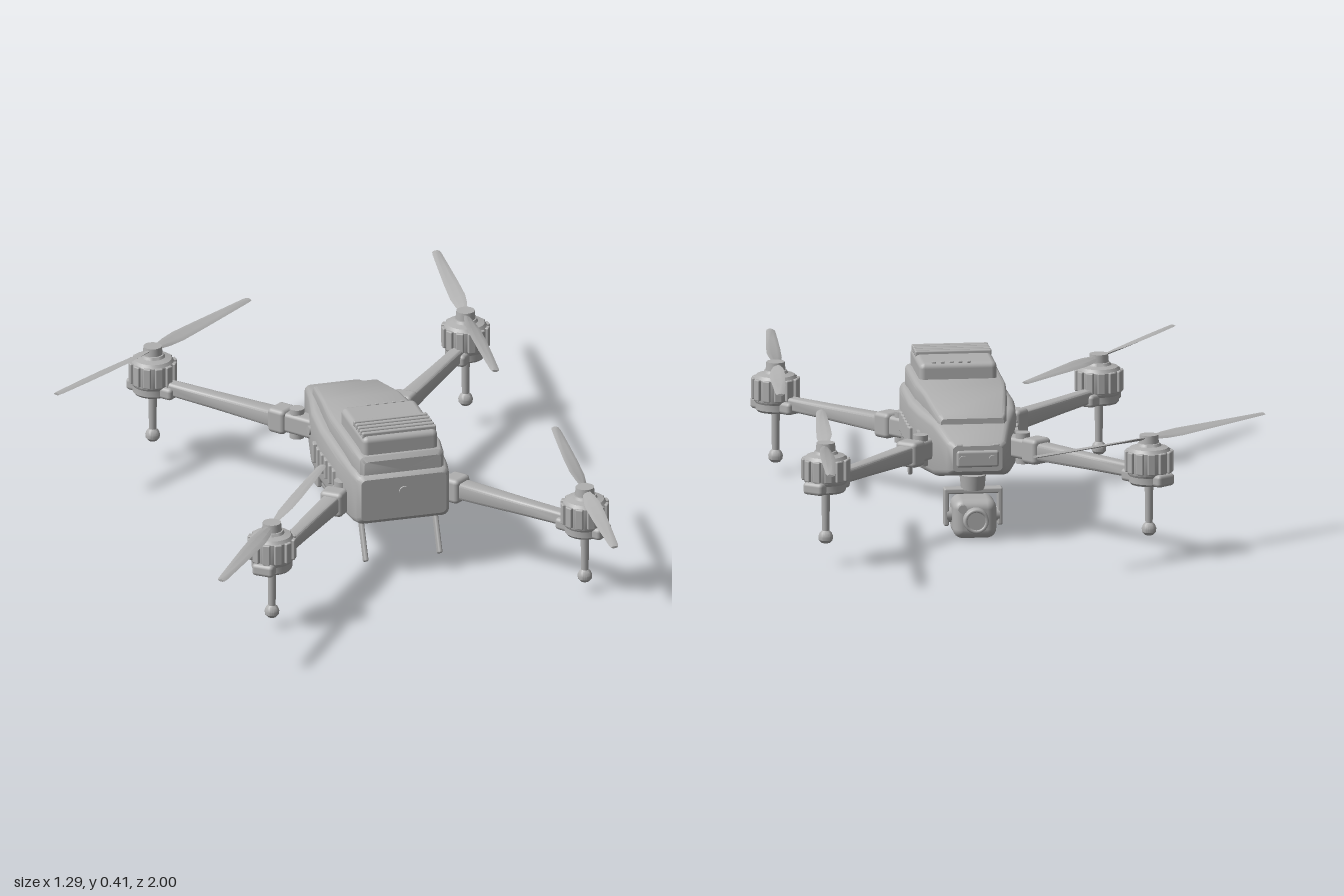
import * as THREE from 'three';
import { toCreasedNormals } from 'three/addons/utils/BufferGeometryUtils.js';
import { RoundedBoxGeometry } from 'three/addons/geometries/RoundedBoxGeometry.js';

const grey = new THREE.MeshStandardMaterial({ color: 0xb0b0b0 });
grey.name = 'grey';

function add(parent, name, geometry, x = 0, y = 0, z = 0) {
  const mesh = new THREE.Mesh(geometry, grey);
  mesh.name = name;
  mesh.position.set(x, y, z);
  parent.add(mesh);
  return mesh;
}

function group(parent, name, x = 0, y = 0, z = 0) {
  const g = new THREE.Group();
  g.name = name;
  g.position.set(x, y, z);
  parent.add(g);
  return g;
}

const box = (w, h, d, r = 0.006) => new RoundedBoxGeometry(w, h, d, 2, r);
const cyl = (rTop, rBottom, h, n = 24) => new THREE.CylinderGeometry(rTop, rBottom, h, n);
const lathe = (pts) => toCreasedNormals(
  new THREE.LatheGeometry(pts.map(([r, y]) => new THREE.Vector2(r, y)), 24), 0.6);

// Skin rings of [x, y, z] points (counter-clockwise seen from +z) along +z, with capped ends
function loft(rings, crease = 0.6) {
  const pos = [];
  const tri = (a, b, c) => pos.push(...a, ...b, ...c);
  const n = rings[0].length;
  const middle = (ring) => [0, 1, 2].map((k) => ring.reduce((s, p) => s + p[k], 0) / n);
  const first = rings[0], last = rings[rings.length - 1];
  const c0 = middle(first), c1 = middle(last);
  for (let i = 0; i < n; i++) {
    const j = (i + 1) % n;
    for (let k = 0; k + 1 < rings.length; k++) {
      const a = rings[k], b = rings[k + 1];
      tri(a[i], a[j], b[j]);
      tri(a[i], b[j], b[i]);
    }
    tri(c0, first[j], first[i]);
    tri(c1, last[i], last[j]);
  }
  const g = new THREE.BufferGeometry();
  g.setAttribute('position', new THREE.Float32BufferAttribute(pos, 3));
  return toCreasedNormals(g, crease);
}

// Rounded rectangle cross-section: half-width, bottom, top, corner radius
function section(z, hw, y0, y1, r) {
  const ring = [];
  const corners = [[hw - r, y0 + r, -90], [hw - r, y1 - r, 0], [-hw + r, y1 - r, 90], [-hw + r, y0 + r, 180]];
  for (const [cx, cy, start] of corners) {
    for (const step of [0, 30, 60, 90]) {
      const a = THREE.MathUtils.degToRad(start + step);
      ring.push([cx + r * Math.cos(a), cy + r * Math.sin(a), z]);
    }
  }
  return ring;
}

// Tapered, twisted blade along +z
function bladeGeometry(spin) {
  const stations = [[0.02, 0.02, 24], [0.06, 0.034, 22], [0.11, 0.043, 17], [0.2, 0.04, 12], [0.3, 0.033, 8], [0.4, 0.025, 5], [0.414, 0.02, 5]];
  return loft(stations.map(([z, chord, deg]) => {
    const a = THREE.MathUtils.degToRad(deg) * spin;
    const t = 0.003;
    return [[0.5, 0], [0.2, t], [-0.2, t], [-0.5, 0], [-0.2, -t], [0.2, -t]].map(([u, v]) => {
      const x = u * chord;
      return [x * Math.cos(a) - v * Math.sin(a), 0.018 * z + x * Math.sin(a) + v * Math.cos(a), z];
    });
  }), 0.5);
}

// Arm, motor, landing leg and propeller at one corner
function buildCorner(parent, name, sx, sz, propX, propZ) {
  const rear = sz < 0;
  const corner = group(parent, name, sx * 0.44, rear ? 0.21 : 0.18, sz * 0.587);

  const arm = group(corner, 'arm', 0, 0.027, 0);
  arm.rotation.y = Math.atan2(-sx * 0.27, -sz * 0.33);
  add(arm, 'armTube', loft([
    section(0.03, 0.018, -0.018, 0.018, 0.008),
    section(0.2, 0.02, -0.02, 0.02, 0.008),
    section(0.41, 0.024, -0.024, 0.024, 0.008),
  ]));
  add(arm, 'armClamp', box(0.066, 0.07, 0.055, 0.012), 0, 0, 0.425);
  add(arm, 'armRoot', box(0.05, 0.056, 0.12, 0.01), 0, 0, 0.5);
  add(arm, 'hingePin', cyl(0.02, 0.02, 0.085), 0, 0, 0.475);
  add(arm, 'motorBracket', box(0.062, 0.034, 0.15, 0.01), 0, -0.01, 0.005);

  const motor = group(corner, 'motor');
  add(motor, 'motorBase', lathe([[0, 0], [0.05, 0], [0.055, 0.006], [0.055, 0.024], [0, 0.024]]));
  add(motor, 'motorBell', lathe([[0, 0.022], [0.054, 0.022], [0.059, 0.03], [0.059, 0.09],
    [0.052, 0.1], [0.034, 0.105], [0.03, 0.112], [0, 0.112]]));
  for (let i = 0; i < 12; i++) {
    const a = (i / 12) * Math.PI * 2;
    const rib = add(motor, 'motorRib', box(0.021, 0.058, 0.014, 0.003), Math.sin(a) * 0.059, 0.063, Math.cos(a) * 0.059);
    rib.rotation.y = a;
  }

  add(corner, 'leg', cyl(0.012, 0.01, 0.12, 16), 0, -0.055, 0);
  add(corner, 'foot', lathe([[0, -0.143], [0.012, -0.142], [0.019, -0.134], [0.02, -0.124],
    [0.016, -0.114], [0.01, -0.108], [0, -0.107]]));

  const prop = group(corner, 'propeller', 0, 0.125, 0);
  prop.rotation.y = Math.atan2(propX, propZ);
  add(prop, 'propellerHub', cyl(0.025, 0.027, 0.022), 0, -0.001, 0);
  const blade = bladeGeometry(sx * sz);
  add(prop, 'blade', blade);
  add(prop, 'blade', blade).rotation.y = Math.PI;
}

function buildBody(parent) {
  const body = group(parent, 'body');
  add(body, 'hull', loft([
    section(-0.362, 0.068, 0.205, 0.275, 0.012),
    section(-0.345, 0.082, 0.192, 0.287, 0.016),
    section(-0.22, 0.107, 0.164, 0.315, 0.018),
    section(-0.1, 0.134, 0.16, 0.322, 0.018),
    section(0.02, 0.145, 0.16, 0.322, 0.018),
    section(0.2, 0.144, 0.16, 0.318, 0.018),
    section(0.3, 0.136, 0.16, 0.312, 0.018),
    section(0.335, 0.13, 0.166, 0.307, 0.018),
    section(0.347, 0.12, 0.178, 0.297, 0.014),
  ]));
  add(body, 'topCover', loft([
    section(-0.242, 0.086, 0.28, 0.325, 0.01),
    section(-0.225, 0.094, 0.28, 0.335, 0.012),
    section(-0.07, 0.113, 0.28, 0.361, 0.012),
    section(0.05, 0.124, 0.28, 0.363, 0.012),
    section(0.27, 0.125, 0.28, 0.363, 0.012),
    section(0.325, 0.118, 0.28, 0.357, 0.012),
    section(0.335, 0.108, 0.28, 0.345, 0.012),
  ]));

  // Rear sensor plate and front button
  add(body, 'rearPlate', box(0.115, 0.046, 0.016, 0.007), 0, 0.24, -0.362);
  for (const s of [-1, 1]) {
    add(body, 'rearSensor', cyl(0.011, 0.011, 0.012, 16), s * 0.04, 0.24, -0.37).rotation.x = Math.PI / 2;
    add(body, 'rearTopSensor', box(0.02, 0.016, 0.02, 0.004), s * 0.05, 0.272, -0.352);
  }
  add(body, 'frontButton', cyl(0.014, 0.014, 0.008, 20), 0, 0.255, 0.348).rotation.x = Math.PI / 2;

  // Side louvres and buttons
  for (const s of [-1, 1]) {
    for (let i = 0; i < 6; i++) {
      const louvre = add(body, 'sideLouvre', box(0.014, 0.056, 0.024, 0.004), s * 0.144, 0.232, -0.025 + i * 0.038);
      louvre.rotation.y = s * 0.2;
    }
    add(body, 'sideButton', cyl(0.013, 0.013, 0.014, 20), s * 0.131, 0.257, -0.115).rotation.z = Math.PI / 2;
    // Slanted antenna blades under the front
    const antenna = add(body, 'antenna', box(0.012, 0.13, 0.026, 0.005), s * 0.104, 0.112, 0.307);
    antenna.rotation.x = -0.45;
  }
}

function buildBattery(parent) {
  const pack = group(parent, 'batteryPack');
  add(pack, 'packCase', box(0.212, 0.07, 0.228, 0.016), 0, 0.373, 0.203);
  for (let i = 0; i < 5; i++) add(pack, 'coolingRib', box(0.208, 0.016, 0.013, 0.004), 0, 0.409, 0.212 + i * 0.021);
  for (let i = 0; i < 5; i++) add(pack, 'statusLight', box(0.011, 0.006, 0.008, 0.002), -0.03 + i * 0.024, 0.408, 0.1);
}

function buildCamera(parent) {
  const gimbal = group(parent, 'gimbalCamera', 0, 0, -0.245);
  add(gimbal, 'gimbalMount', cyl(0.036, 0.032, 0.04), 0, 0.152, 0);
  add(gimbal, 'yokeBridge', box(0.16, 0.016, 0.034, 0.005), 0, 0.129, 0);
  for (const s of [-1, 1]) {
    add(gimbal, 'yokeArm', box(0.014, 0.104, 0.034, 0.005), s * 0.073, 0.085, 0);
    add(gimbal, 'tiltMotor', cyl(0.02, 0.02, 0.02), s * 0.062, 0.062, 0).rotation.z = Math.PI / 2;
  }
  add(gimbal, 'cameraCase', new RoundedBoxGeometry(0.118, 0.108, 0.115, 4, 0.026), 0, 0.06, -0.012);
  add(gimbal, 'lensBarrel', cyl(0.033, 0.036, 0.03), 0, 0.06, -0.073).rotation.x = -Math.PI / 2;
  add(gimbal, 'lensRing', new THREE.TorusGeometry(0.029, 0.005, 8, 24), 0, 0.06, -0.087);
  add(gimbal, 'smallLens', cyl(0.012, 0.012, 0.02, 16), 0.036, 0.092, -0.07).rotation.x = Math.PI / 2;
}

export function createModel() {
  const model = new THREE.Group();
  model.name = 'quadcopter';
  const drone = group(model, 'drone', 0.137, 0, 0);
  buildBody(drone);
  buildBattery(drone);
  buildCamera(drone);
  buildCorner(drone, 'frontRightCorner', -1, 1, -0.237, 0.335);
  buildCorner(drone, 'frontLeftCorner', 1, 1, 0.034, -0.41);
  buildCorner(drone, 'rearRightCorner', -1, -1, 0.34, -0.24);
  buildCorner(drone, 'rearLeftCorner', 1, -1, 0.034, -0.41);
  return model;
}
